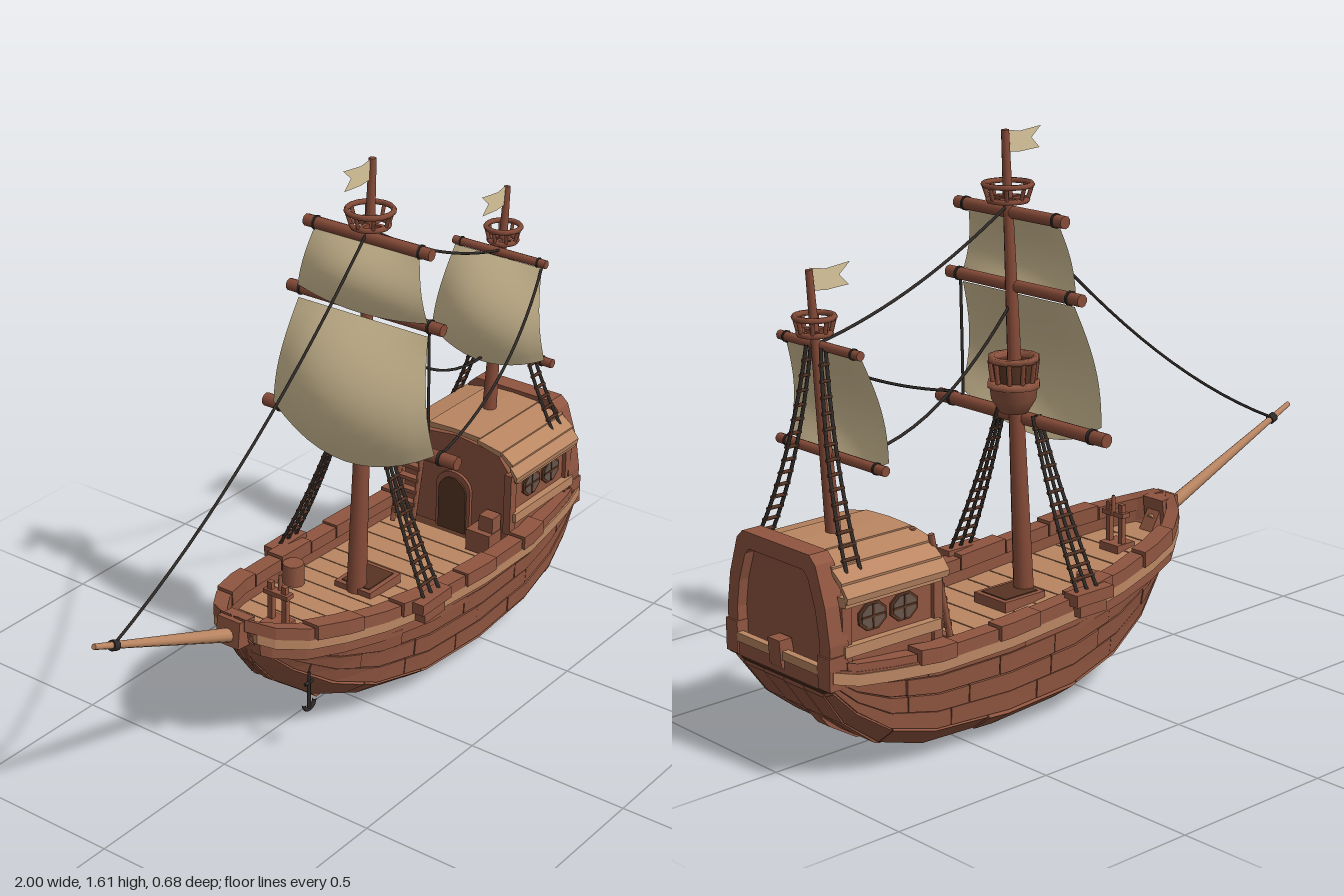
import * as THREE from 'three';

const paint = (name, color) => Object.assign(new THREE.MeshStandardMaterial({ color }), { name });
const wood = paint('hull wood', 0x8f5540), dark = paint('dark wood', 0x573424), light = paint('light wood', 0xba8662);
const spar = paint('spar wood', 0x864b38), sailMat = paint('sail cloth', 0xd8c49a), rope = paint('rope', 0x302b28);
const glass = paint('window glass', 0x66554a);
sailMat.side = THREE.DoubleSide;

const V = (x, y, z) => new THREE.Vector3(x, y, z);
let seed = 7;
const rnd = () => (seed = (seed * 16807) % 2147483647) / 2147483647;

// Hull stations: x, bottom y, sheer y, half width, bottom half width, chine y, chine half width
const stations = [
  [-0.44, .39, .43, .04, .012, .405, .03], [-0.40, .31, .41, .095, .02, .35, .06], [-0.32, .21, .39, .152, .035, .27, .10],
  [-0.2, .12, .37, .192, .07, .185, .15], [-0.05, .065, .345, .22, .12, .12, .19], [0.15, .035, .32, .242, .155, .085, .225],
  [0.4, .03, .305, .25, .172, .08, .24], [0.65, .04, .30, .246, .172, .095, .235], [0.8, .085, .31, .23, .165, .135, .225],
  [0.9, .165, .32, .218, .16, .205, .215], [0.97, .265, .34, .208, .17, .28, .203]];
function station(x) {
  let i = 0;
  while (i < stations.length - 2 && x > stations[i + 1][0]) i++;
  const a = stations[i], b = stations[i + 1], t = (x - a[0]) / (b[0] - a[0]);
  const [, bot, s, w, wb, cy, cw] = a.map((q, k) => q + (b[k] - q) * t);
  return { s, w, pts: [[0, bot], [wb, bot], [cw, cy], [w, s]] };
}

export function createModel() {
  const ship = new THREE.Group();
  ship.name = 'sailingShip';
  const add = (name, geo, mat, parent = ship) => {
    const m = new THREE.Mesh(geo, mat);
    m.name = name;
    parent.add(m);
    return m;
  };

  // Closed solid through equal-sized rings, facing outward
  function loft(rings) {
    const tris = [], n = rings[0].length;
    for (let i = 0; i < rings.length - 1; i++) for (let j = 0; j < n; j++) {
      const k = (j + 1) % n, [a, b, c, d] = [rings[i][j], rings[i][k], rings[i + 1][k], rings[i + 1][j]];
      tris.push([a, b, c], [a, c, d]);
    }
    for (const end of [0, rings.length - 1]) {
      const r = rings[end], mid = V(0, 0, 0);
      r.forEach(p => mid.addScaledVector(p, 1 / n));
      for (let j = 0; j < n; j++) tris.push(end ? [r[j], r[(j + 1) % n], mid] : [r[(j + 1) % n], r[j], mid]);
    }
    const o = rings[0][0];
    const vol = tris.reduce((s, [a, b, c]) => s + a.clone().sub(o).dot(b.clone().sub(o).cross(c.clone().sub(o))), 0);
    const g = new THREE.BufferGeometry().setFromPoints(tris.flatMap(([a, b, c]) => (vol < 0 ? [a, c, b] : [a, b, c])));
    g.computeVertexNormals();
    return g;
  }
  const span = (x0, x1) => [x0, ...stations.map(s => s[0]).filter(x => x > x0 + .01 && x < x1 - .01), x1];
  const box = (name, w, h, d, x, y, z, mat, parent) => {
    const m = add(name, new THREE.BoxGeometry(w, h, d), mat, parent);
    m.position.set(x, y, z);
    return m;
  };
  function rod(name, a, b, r0, r1, mat, parent, sides = 10) {
    const m = add(name, new THREE.CylinderGeometry(r1, r0, a.distanceTo(b), sides), mat, parent);
    m.position.copy(a).lerp(b, .5);
    m.quaternion.setFromUnitVectors(V(0, 1, 0), b.clone().sub(a).normalize());
  }
  const tube = (name, curve, r) => add(name, new THREE.TubeGeometry(curve, 16, r, 5), rope);
  const line = (name, a, b, sag, out = 0) => {
    const mid = a.clone().lerp(b, .5).add(V(0, -sag * 2, out * 2));
    tube(name, new THREE.QuadraticBezierCurve3(a, mid, b), .0045);
  };

  // Inner hull, closed just under the deck
  add('hullCore', loft(stations.map(([x]) => {
    const { s, w, pts } = station(x);
    const half = [...pts.slice(1), [Math.max(w - .02, .01), Math.max(s - .075, pts[0][1] + .01)]];
    return [...half.map(([z, y]) => V(x, y, z)), ...half.reverse().map(([z, y]) => V(x, y, -z))];
  })), dark);

  // Plank covering part of one section edge
  function plank(x0, x1, edge, f0, f1, off, side) {
    add('hullPlank', loft(span(x0, x1).map(x => {
      const { pts } = station(x), [az, ay] = pts[edge], [bz, by] = pts[edge + 1];
      const len = Math.hypot(bz - az, by - ay), nz = (by - ay) / len, ny = -(bz - az) / len;
      return [[f0, -.003], [f0, off], [f1, off], [f1, -.003]].map(([f, o]) =>
        V(x, ay + (by - ay) * f + ny * o, side * (az + (bz - az) * f + nz * o)));
    })), wood);
  }
  const rows = [[0, 0, .5], [0, .5, 1], [1, 0, 1], [2, 0, .25], [2, .25, .5], [2, .5, .75], [2, .75, 1]];
  for (const side of [1, -1]) {
    rows.forEach(([edge, f0, f1], r) => {
      let x = -.435;
      while (x < .965) {
        let e = Math.min(.968, x + .2 + rnd() * .16 - (x < -.4 ? .1 * (r % 2) : 0));
        if (e > .86) e = .968;
        plank(x, e - .003, edge, f0 + .008, f1 - .008, .006 + rnd() * .006, side);
        x = e;
      }
    });
    // Light wale, bulwark and rail blocks
    const rail = (name, x0, x1, y0, y1, out, inn, mat) => add(name, loft(span(x0, x1).map(x => {
      const { s, w } = station(x), i = Math.max(w - inn, .004);
      return [V(x, s + y0, side * (w + out)), V(x, s + y1, side * (w + out)), V(x, s + y1, side * i), V(x, s + y0, side * i)];
    })), mat);
    rail('wale', -.43, .975, -.04, -.008, .015, 0, light);
    rail('bulwark', -.42, .62, -.075, .005, .004, .028, wood);
    const cuts = [-.45, -.3, -.14, .01, .17, .3, .45, .6, .72];
    cuts.slice(1).forEach((e, i) =>
      rail('railBlock', cuts[i], e - .005, -.01, e > .3 ? .026 + .006 * (i % 2) : .028 + .007 * (i % 2), .016 + .006 * (i % 2), .034, wood));
    rail('sternRail', .72, .93, -.01, .02, .01, .034, wood);
    box('shroudPlatform', .14, .035, .05, .115, .345, side * .265, wood);
    box('shroudPlatformBracket', .1, .04, .04, .115, .312, side * .262, wood);
  }

  // Deck planks laid across the ship
  for (let x = -.4; x < .6; x += .0775) add('deckPlank', loft(span(x, x + .074).map(q => {
    const { s, w } = station(q), z = w - .015, y = s - .045;
    return [V(q, y, z), V(q, y, -z), V(q, y - .02, -z), V(q, y - .02, z)];
  })), light);

  // Keel with stem and rudder post
  const keelOuter = [[-.46, .41], [-.39, .29], [-.3, .19], [-.17, .09], [-.11, .035], [0, .04], [.12, .02], [.35, 0], [.55, .01], [.75, .035], [.84, .09], [.91, .18], [.99, .3], [.995, .37]];
  const keelInner = [[.955, .37], [.94, .27], [.8, .12], [.65, .07], [.3, .06], [-.04, .1], [-.2, .17], [-.32, .27], [-.41, .42]];
  const keel = new THREE.Shape([...keelOuter, ...keelInner].map(p => new THREE.Vector2(...p)));
  add('keel', new THREE.ExtrudeGeometry(keel, { depth: .05, bevelEnabled: false }).translate(0, 0, -.025), wood);

  // Bow block and bowsprit
  box('bowBlock', .065, .08, .08, -.44, .415, 0, wood).rotation.z = -.12;
  rod('bowsprit', V(-.4, .38, 0), V(-1, .63, 0), .022, .008, light);
  rod('bowspritBand', V(-.915, .594, 0), V(-.935, .602, 0), .015, .015, rope);

  // Stern cabin
  const wall = [[.2, .27], [.2, .51], [.15, .57], [0, .59], [-.15, .57], [-.2, .51], [-.2, .27]];
  add('cabinWalls', loft([.615, .935].map(x => wall.map(([z, y]) => V(x, y, z)))), wood);
  const roof = [[.232, .505], [.21, .54], [.172, .575], [.09, .595], [0, .603]];
  for (const side of [1, -1]) {
    for (let i = 0; i < 4; i++) {
      const [az, ay] = roof[i], [bz, by] = roof[i + 1], front = .595 + .008 * (i % 2);
      add('roofPlank', loft([front, .935].map(x =>
        [V(x, ay, side * az), V(x, ay + .018, side * (az + .004)), V(x, by + .014, side * bz), V(x, by, side * bz)])), light);
    }
    box('cabinEave', .32, .026, .03, .775, .508, side * .212, light);
    box('cabinSill', .32, .03, .03, .775, .375, side * .208, light);
    for (const x of [.615, .92]) box('cabinPost', .03, .2, .025, x, .42, side * .2, wood);
    // Paired round windows
    for (const x of [.725, .83]) {
      const win = new THREE.Group();
      win.name = 'cabinWindow';
      win.position.set(x, .447, side * .2);
      ship.add(win);
      const disc = (name, r, d, mat) => add(name, new THREE.CylinderGeometry(r, r, d, 8).rotateY(Math.PI / 8).rotateX(Math.PI / 2).scale(1.2, 1, 1), mat, win);
      disc('windowFrame', .041, .012, dark);
      disc('windowPane', .033, .016, glass);
      box('windowBar', .006, .064, .02, 0, 0, 0, dark, win);
      box('windowBar', .076, .006, .02, 0, 0, 0, dark, win);
    }
  }

  // Cabin front: arched door, ladder and crates
  const door = new THREE.Shape();
  door.moveTo(-.05, 0).lineTo(.05, 0).lineTo(.05, .13).absarc(0, .13, .05, 0, Math.PI, false).lineTo(-.05, 0);
  const doorPlate = () => new THREE.ExtrudeGeometry(door, { depth: .012, bevelEnabled: false }).rotateY(-Math.PI / 2);
  add('doorFrame', doorPlate().scale(1, 1.1, 1.25), wood).position.set(.616, .27, 0);
  add('door', doorPlate(), dark).position.set(.61, .27, 0);
  for (const z of [-.18, -.105]) rod('ladderRail', V(.54, .27, z), V(.61, .61, z), .009, .009, wood, ship, 6);
  for (let i = 1; i < 9; i++) box('ladderRung', .025, .012, .08, .54 + .07 * i / 9, .27 + .34 * i / 9, -.1425, wood);
  box('crate', .065, .07, .085, .575, .295, .135, wood);
  box('smallCrate', .045, .05, .05, .585, .355, .15, wood);

  // Stern board: thick frame around a recessed panel
  const outline = k => [[.213, .275], [.216, .4], [.2, .5], [.165, .605], [.14, .628], [-.14, .628], [-.165, .605], [-.2, .5], [-.216, .4], [-.213, .275]]
    .map(([z, y]) => new THREE.Vector2(z * k, .44 + (y - .44) * (k < 1 ? .76 : 1)));
  const frame = new THREE.Shape(outline(1));
  frame.holes.push(new THREE.Path(outline(.8)));
  const plate = (shape, depth) => new THREE.ExtrudeGeometry(shape, { depth, bevelEnabled: false }).rotateY(Math.PI / 2);
  add('sternFrame', plate(frame, .06), wood).position.x = .92;
  add('sternPanel', plate(new THREE.Shape(outline(.82)), .02), wood).position.x = .93;
  box('sternBeam', .02, .024, .34, .976, .328, 0, light);
  for (const z of [-.195, .195]) box('sternCorner', .06, .09, .05, .955, .325, z, wood);

  // Masts lean aft; every yard, top and nest sits on them
  const mainX = y => .115 + (y - .27) * .047, mizX = y => .785 + (y - .55) * .082;
  const yard = (name, x, y, half, r) => {
    rod(name, V(x, y, -half), V(x, y, half), r, r, spar);
    for (const s of [-1, 1]) rod('yardBand', V(x, y, s * half * .82), V(x, y, s * half * .85), r + .003, r + .003, rope);
  };
  // Ring of leaning posts, used for mast tops and the nest
  function posts(parent, n, r0, r1, y0, y1, thick) {
    for (let i = 0; i < n; i++) {
      const c = Math.cos(i * Math.PI * 2 / n), s = Math.sin(i * Math.PI * 2 / n);
      rod('railPost', V(c * r0, y0, s * r0), V(c * r1, y1, s * r1), thick, thick, spar, parent, 6);
    }
  }
  function top(x, y, r) {
    const g = new THREE.Group();
    g.name = 'mastTop';
    g.position.set(x, y, 0);
    ship.add(g);
    const ring = (name, q, t, h) => add(name, new THREE.TorusGeometry(q, t, 6, 16).rotateX(Math.PI / 2), spar, g).position.y = h;
    ring('floorRing', r * .8, .008, 0);
    ring('guardRail', r, .008, .042);
    posts(g, 8, r * .8, r, 0, .042, .006);
    for (let i = 0; i < 2; i++) box('crossTree', r * 1.6, .012, .012, 0, 0, 0, spar, g).rotation.y = i * Math.PI / 2;
  }
  function sail(name, x0, x1, y0, y1, w0, w1, bulge, droop) {
    const g = new THREE.PlaneGeometry(2, 1, 12, 12), p = g.attributes.position;
    for (let i = 0; i < p.count; i++) {
      const u = p.getX(i), v = p.getY(i) + .5, arc = 1 - u * u;
      p.setXYZ(i, x0 + (x1 - x0) * v - bulge * Math.sin(Math.PI * (.2 + .8 * v)) * (.4 + .6 * arc),
        y0 + (y1 - y0) * v - droop * arc * (1 - v), u * (w0 + (w1 - w0) * v));
    }
    g.computeVertexNormals();
    add(name, g, sailMat);
  }
  function flag(x, y) {
    const f = new THREE.Shape([[0, .035], [-.05, .026], [-.13, .034], [-.095, .004], [-.125, -.026], [-.05, -.03], [0, -.024]].map(q => new THREE.Vector2(...q)));
    add('flag', new THREE.ShapeGeometry(f), sailMat).position.set(x, y, 0);
  }
  rod('mainMast', V(mainX(.27), .27, 0), V(mainX(1.605), 1.605, 0), .03, .011, spar);
  rod('mizzenMast', V(mizX(.55), .55, 0), V(mizX(1.32), 1.32, 0), .023, .01, spar);
  yard('mainLowerYard', .125, .8, .34, .02);
  yard('mainMiddleYard', .148, 1.175, .267, .018);
  yard('mainUpperYard', .16, 1.38, .215, .018);
  yard('mizzenLowerYard', .79, .825, .22, .014);
  yard('mizzenUpperYard', .82, 1.12, .165, .013);
  sail('mainSail', .115, .135, .82, 1.15, .285, .225, .1, .09);
  sail('topSail', .142, .152, 1.19, 1.37, .225, .18, .045, .02);
  sail('mizzenSail', .785, .81, .84, 1.11, .205, .155, .075, .05);
  top(mainX(1.415), 1.415, .066);
  top(mizX(1.155), 1.155, .052);
  flag(mainX(1.57), 1.57);
  flag(mizX(1.29), 1.29);

  // Crow's nest: bowl, dark inner wall, posts and rim
  const nest = new THREE.Group();
  nest.name = 'crowsNest';
  nest.position.x = .15;
  ship.add(nest);
  const turned = (name, pts, mat) => add(name, new THREE.LatheGeometry(pts.map(q => new THREE.Vector2(...q)), 12), mat, nest);
  turned('nestBowl', [[0, .815], [.04, .82], [.064, .86], [.068, .89], [.074, .892], [.074, .908], [0, .908]], wood);
  turned('nestWall', [[.052, .905], [.062, .97], [.056, .97], [.046, .91]], dark);
  turned('nestRim', [[.055, .964], [.072, .964], [.072, .98], [.055, .98], [.055, .964]], wood);
  posts(nest, 10, .058, .066, .905, .968, .007);

  // Rope ladders that flare toward the rail
  function shroud(name, ends, strands, rungs) {
    const at = (x0, x1, t) => new THREE.QuadraticBezierCurve3(...ends.map(([a, b, y, z]) => V(a + (b - a) * t + (x1 - x0), y, z)));
    for (let i = 0; i < strands; i++) tube(name, at(0, 0, i / (strands - 1)), .0055);
    for (let i = 1; i < rungs; i++)
      rod('shroudRung', at(.006, 0, 0).getPoint(i / rungs), at(0, .006, 1).getPoint(i / rungs), .0055, .0055, dark, ship, 5);
  }
  for (const s of [1, -1]) {
    shroud('mainShroud', [[.12, .145, .82, s * .07], [.105, .155, .58, s * .15], [.085, .16, .36, s * .262]], 3, 14);
    shroud('mizzenShroud', [[.825, .84, 1.12, s * .03], [.838, .87, .8, s * .07], [.855, .9, .57, s * .19]], 2, 15);
  }

  // Running lines
  line('foreStay', V(-.925, .6, 0), V(.16, 1.4, 0), .08);
  line('topStay', V(.17, 1.4, 0), V(.825, 1.125, 0), .035);
  line('middleStay', V(.15, 1.14, 0), V(.79, .81, 0), .11);
  line('braceRope', V(.13, .82, .29), V(.82, 1.11, .15), .035, .03);
  line('yardRope', V(.148, 1.16, .22), V(.125, .81, .24), 0);

  // Deck fittings: belfry, hatch and barrel
  for (const z of [-.025, .025]) box('belfryPost', .016, .15, .016, -.25, .395, z, wood);
  box('belfryBeam', .03, .014, .085, -.25, .44, 0, wood);
  rod('belfryPin', V(-.24, .44, 0), V(-.24, .495, 0), .008, .005, wood);
  box('belfryBase', .07, .025, .075, -.255, .34, 0, wood);
  box('hatchFrame', .15, .03, .13, .17, .285, 0, wood);
  box('hatchCover', .12, .034, .1, .17, .286, 0, dark);
  rod('barrel', V(.02, .28, -.16), V(.02, .36, -.16), .032, .032, wood);

  // Anchor hanging by the bow
  rod('anchorShank', V(-.31, .15, .155), V(-.31, .27, .155), .006, .005, rope, ship, 6);
  rod('anchorStock', V(-.328, .235, .155), V(-.292, .235, .155), .005, .005, rope, ship, 6);
  add('anchorArms', new THREE.TorusGeometry(.024, .006, 6, 10, Math.PI).rotateZ(Math.PI), rope).position.set(-.31, .172, .155);
  return ship;
}
